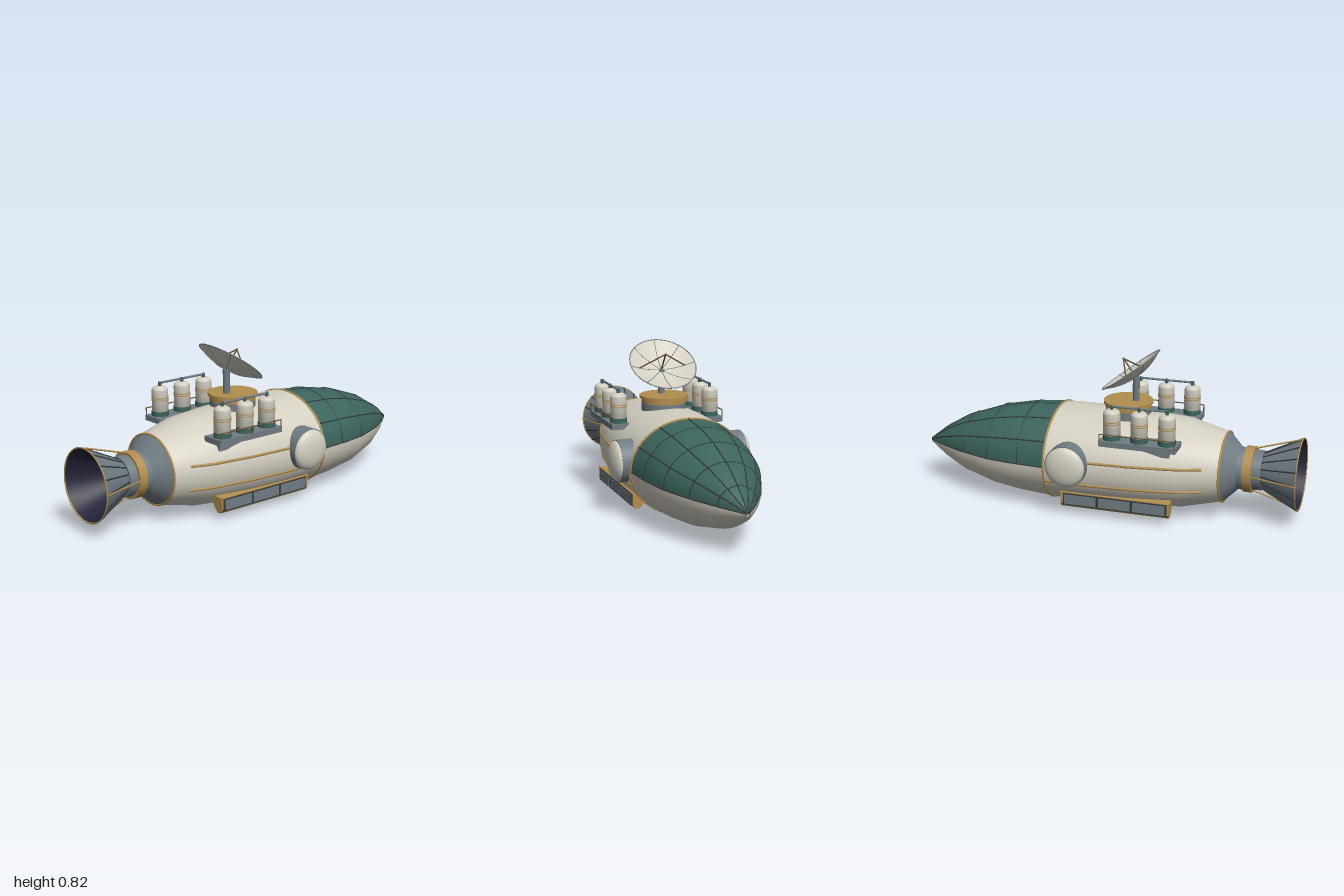
import * as THREE from 'three';
import { mergeVertices } from 'three/addons/utils/BufferGeometryUtils.js';

const V = (x, y, z) => new THREE.Vector3(x, y, z);
const flat = (name, color, side = THREE.FrontSide) => {
  const m = new THREE.MeshStandardMaterial({ color, side });
  m.name = name;
  return m;
};

// Hull stations: x, centre y, height above it, depth below it, half width
const STATIONS = [
  [-0.69, 0.255, 0.108, 0.108, 0.112], [-0.62, 0.255, 0.175, 0.175, 0.19], [-0.42, 0.255, 0.225, 0.222, 0.255],
  [-0.2, 0.255, 0.24, 0.24, 0.288], [0, 0.255, 0.247, 0.25, 0.3], [0.25, 0.255, 0.245, 0.243, 0.299],
  [0.43, 0.252, 0.233, 0.228, 0.28], [0.58, 0.247, 0.208, 0.205, 0.247], [0.77, 0.24, 0.148, 0.152, 0.165],
  [0.9, 0.232, 0.078, 0.085, 0.083], [1, 0.222, 0.008, 0.014, 0.004],
];
function hullPoint(x, a, off = 0) {
  let i = 0;
  while (i < STATIONS.length - 2 && x > STATIONS[i + 1][0]) i++;
  const p = STATIONS[i], q = STATIONS[i + 1];
  const t = (x - p[0]) / (q[0] - p[0]);
  const [, cy, up, down, w] = p.map((v, k) => v + (q[k] - v) * t);
  const s = Math.sin(a);
  return V(x, cy + s * ((s > 0 ? up : down) + off), Math.cos(a) * (w + off));
}
// Skin over the hull between two angles at the given x positions
function hullSkin(xs, a0, a1, n, off = 0) {
  const pos = [], idx = [];
  xs.forEach((x, i) => {
    for (let j = 0; j <= n; j++) {
      pos.push(...hullPoint(x, a0 + (a1 - a0) * j / n, off).toArray());
      if (i && j) {
        const d = i * (n + 1) + j, c = d - 1, b = d - n - 1, a = b - 1;
        idx.push(a, c, d, a, d, b);
      }
    }
  });
  let g = new THREE.BufferGeometry();
  g.setAttribute('position', new THREE.Float32BufferAttribute(pos, 3));
  g.setIndex(idx);
  g = mergeVertices(g, 1e-5);
  g.computeVertexNormals();
  return g;
}

export function createModel() {
  const cream = flat('cream hull', 0xd3cfc1), teal = flat('teal canopy', 0x3c655d);
  const gold = flat('gold trim', 0xb28e4e), grey = flat('blue grey metal', 0x707c83);
  const dark = flat('dark ribs', 0x343c3f), navy = flat('engine interior', 0x25243a, THREE.BackSide);
  const dishSkin = flat('dish cream', 0xd3cfc1, THREE.DoubleSide), bronze = flat('bronze struts', 0x6b5331);
  const root = new THREE.Group();
  const add = (name, geo, mat, p = V(0, 0, 0), parent = root) => {
    const m = new THREE.Mesh(geo, mat);
    m.name = name;
    m.position.copy(p);
    parent.add(m);
    return m;
  };
  const bar = (name, a, b, r, mat, parent = root) => {
    const d = b.clone().sub(a);
    const m = add(name, new THREE.CylinderGeometry(r, r, d.length(), 8), mat, a.clone().add(b).multiplyScalar(0.5), parent);
    m.quaternion.setFromUnitVectors(V(0, 1, 0), d.normalize());
  };
  const path = (name, pts, r, mat, closed = false) =>
    add(name, new THREE.TubeGeometry(new THREE.CatmullRomCurve3(pts, closed), pts.length * 2, r, 6, closed), mat);
  const box = (name, x, y, z, w, h, d, mat, parent = root) =>
    add(name, new THREE.BoxGeometry(w, h, d), mat, V(x, y, z), parent);
  // Cylinder along x, first radius at the forward end
  const axial = (name, x0, x1, r0, r1, mat, open = false) => {
    const g = new THREE.CylinderGeometry(r0, r1, x1 - x0, 40, 1, open).rotateZ(-Math.PI / 2);
    return add(name, g, mat, V((x0 + x1) / 2, 0.255, 0));
  };
  const xs = STATIONS.map(s => s[0]), nose = xs.slice(5), PI = Math.PI;

  // Hull, chin and canopy
  add('hull', hullSkin(xs.slice(1, 6), 0, 2 * PI, 64), cream);
  add('tailCone', hullSkin(xs.slice(0, 2), 0, 2 * PI, 64), grey);
  add('chin', hullSkin(nose, -PI, 0, 32), cream);
  add('canopy', hullSkin(nose, 0, PI, 32), teal);
  add('noseTip', new THREE.SphereGeometry(0.011, 12, 8), cream, V(0.989, 0.219, 0));
  for (const x of [-0.62, 0.253]) {
    const pts = Array.from({ length: 40 }, (_, j) => hullPoint(x, j * PI / 20));
    path('hullSeam', pts, 0.006, gold, true);
  }

  // Canopy frame
  for (let k = 0; k <= 6; k++) {
    const pts = nose.map(x => hullPoint(x, k * PI / 6));
    pts.slice(1).forEach((p, i) => bar('canopyRib', pts[i], p, 0.0035, dark));
  }
  for (const x of [0.4, 0.58, 0.74, 0.88]) {
    path('canopyHoop', Array.from({ length: 25 }, (_, j) => hullPoint(x, j * PI / 24)), 0.003, dark);
  }

  // Engine
  axial('engineNeck', -0.81, -0.685, 0.108, 0.1, grey);
  axial('engineCollar', -0.765, -0.72, 0.117, 0.117, gold);
  axial('engineBell', -1, -0.8, 0.085, 0.183, grey, true);
  axial('engineBellInside', -0.999, -0.8, 0.081, 0.179, navy, true);
  add('engineThroat', new THREE.CircleGeometry(0.085, 32).rotateY(PI / 2), navy, V(-0.815, 0.255, 0));
  add('engineRim', new THREE.TorusGeometry(0.181, 0.004, 6, 40).rotateY(PI / 2), gold, V(-0.996, 0.255, 0));
  for (let k = 0; k < 16; k++) {
    const a = k * PI / 8;
    const at = (x, r) => V(x, 0.255 + r * Math.sin(a), r * Math.cos(a));
    bar('bellRib', at(-0.8, 0.086), at(-0.996, 0.182), 0.0035, dark);
    if (k % 4 === 0) bar('bellStrut', at(-0.76, 0.112), at(-0.996, 0.184), 0.004, gold);
  }

  for (const s of [1, -1]) {
    // Hull stripes
    for (const [y, x1] of [[0.303, 0.03], [0.18, 0.25]]) {
      const list = [-0.54, -0.42, -0.31, -0.2, -0.1, 0, x1];
      const pts = list.map(x => {
        const up = y > 0.255, ref = hullPoint(x, up ? PI / 2 : -PI / 2);
        const a = Math.asin((y - 0.255) / Math.abs(ref.y - 0.255));
        const p = hullPoint(x, a);
        p.z *= s;
        return p;
      });
      path('hullStripe', pts, 0.007, gold);
    }

    // Side pod
    add('podBase', new THREE.CylinderGeometry(0.107, 0.107, 0.09, 40).rotateX(PI / 2), grey, V(0.125, 0.283, s * 0.287));
    const dome = new THREE.SphereGeometry(0.103, 40, 12, 0, 2 * PI, 0, PI / 2).scale(1, 0.39, 1).rotateX(s * PI / 2);
    add('podDome', dome, cream, V(0.125, 0.283, s * 0.331));

    // Tank rack
    const rack = new THREE.Group();
    rack.name = 'tankRack';
    root.add(rack);
    box('rackPlatform', -0.235, 0.416, s * 0.242, 0.39, 0.028, 0.122, grey, rack);
    box('rackFoot', -0.235, 0.385, s * 0.215, 0.3, 0.06, 0.05, grey, rack);
    for (const x of [-0.425, -0.235, -0.045]) bar('railPost', V(x, 0.425, s * 0.301), V(x, 0.466, s * 0.301), 0.003, bronze, rack);
    bar('rail', V(-0.425, 0.465, s * 0.301), V(-0.045, 0.465, s * 0.301), 0.003, bronze, rack);
    const tank = [[0, 0.45], [0.042, 0.45], [0.042, 0.562], [0.038, 0.573], [0.026, 0.581], [0, 0.584]].map(p => new THREE.Vector2(...p));
    for (const x of [-0.375, -0.235, -0.095]) {
      const p = V(x, 0, s * 0.25);
      add('tank', new THREE.LatheGeometry(tank, 28), cream, p, rack);
      add('tankFoot', new THREE.CylinderGeometry(0.044, 0.044, 0.026, 28), teal, V(x, 0.442, p.z), rack);
      for (const y of [0.513, 0.524]) add('tankBand', new THREE.CylinderGeometry(0.0435, 0.0435, 0.004, 28), gold, V(x, y, p.z), rack);
      add('tankValve', new THREE.CylinderGeometry(0.009, 0.009, 0.028, 12), teal, V(x, 0.589, p.z), rack);
    }
    bar('tankPipe', V(-0.375, 0.598, s * 0.25), V(-0.095, 0.598, s * 0.25), 0.006, grey, rack);

    // Lower light bay: sloped gold housing with three panels
    const shape = new THREE.Shape([[0.2, 0.125], [0.262, 0.12], [0.264, 0.062], [0.25, 0.042], [0.228, 0.042], [0.2, 0.075]]
      .map(([z, y]) => new THREE.Vector2(-s * z, y)));
    const bay = new THREE.ExtrudeGeometry(shape, { depth: 0.565, bevelEnabled: false }).rotateY(PI / 2);
    add('lowerBay', bay, gold, V(-0.392, 0, 0));
    bar('lowerBayLip', V(-0.392, 0.123, s * 0.267), V(0.172, 0.123, s * 0.267), 0.005, gold);
    for (let k = 0; k < 3; k++) {
      const x = -0.292 + k * 0.18;
      box('lowerPanelFrame', x, 0.087, s * 0.262, 0.18, 0.062, 0.014, dark);
      box('lowerPanel', x, 0.087, s * 0.267, 0.166, 0.05, 0.01, grey);
    }
  }

  // Turret and antenna post
  add('turretBase', new THREE.CylinderGeometry(0.115, 0.118, 0.09, 40), grey, V(-0.105, 0.48, 0));
  add('turretDisc', new THREE.CylinderGeometry(0.117, 0.117, 0.03, 40), gold, V(-0.105, 0.535, 0));
  add('turretLip', new THREE.CylinderGeometry(0.126, 0.126, 0.013, 40), gold, V(-0.105, 0.55, 0));
  bar('dishPost', V(-0.145, 0.55, 0), V(-0.145, 0.68, 0), 0.018, grey);

  // Dish, tilted forward
  const dish = new THREE.Group();
  dish.name = 'dish';
  dish.position.set(-0.144, 0.678, 0);
  dish.rotation.z = -0.635;
  root.add(dish);
  const bowl = r => 0.046 * (r / 0.176) ** 2;
  const radii = [0.001, 0.035, 0.07, 0.105, 0.14, 0.176];
  add('dishBowl', new THREE.LatheGeometry(radii.map(r => new THREE.Vector2(r, bowl(r))), 40), dishSkin, V(0, 0, 0), dish);
  add('dishRim', new THREE.TorusGeometry(0.175, 0.0025, 6, 48).rotateX(PI / 2), grey, V(0, 0.046, 0), dish);
  for (let k = 0; k < 8; k++) {
    const pts = radii.map(r => V(r * Math.cos(k * PI / 4), bowl(r), r * Math.sin(k * PI / 4)));
    add('dishRib', new THREE.TubeGeometry(new THREE.CatmullRomCurve3(pts), 10, 0.002, 5), grey, V(0, 0, 0), dish);
  }
  const feed = V(0, 0.114, 0);
  bar('feedMast', V(0, 0, 0), feed, 0.004, bronze, dish);
  for (const s of [1, -1]) bar('feedStrut', V(0, bowl(0.125), s * 0.125), feed, 0.0035, bronze, dish);
  add('feedHorn', new THREE.SphereGeometry(0.006, 10, 8), bronze, feed, dish);
  return root;
}
